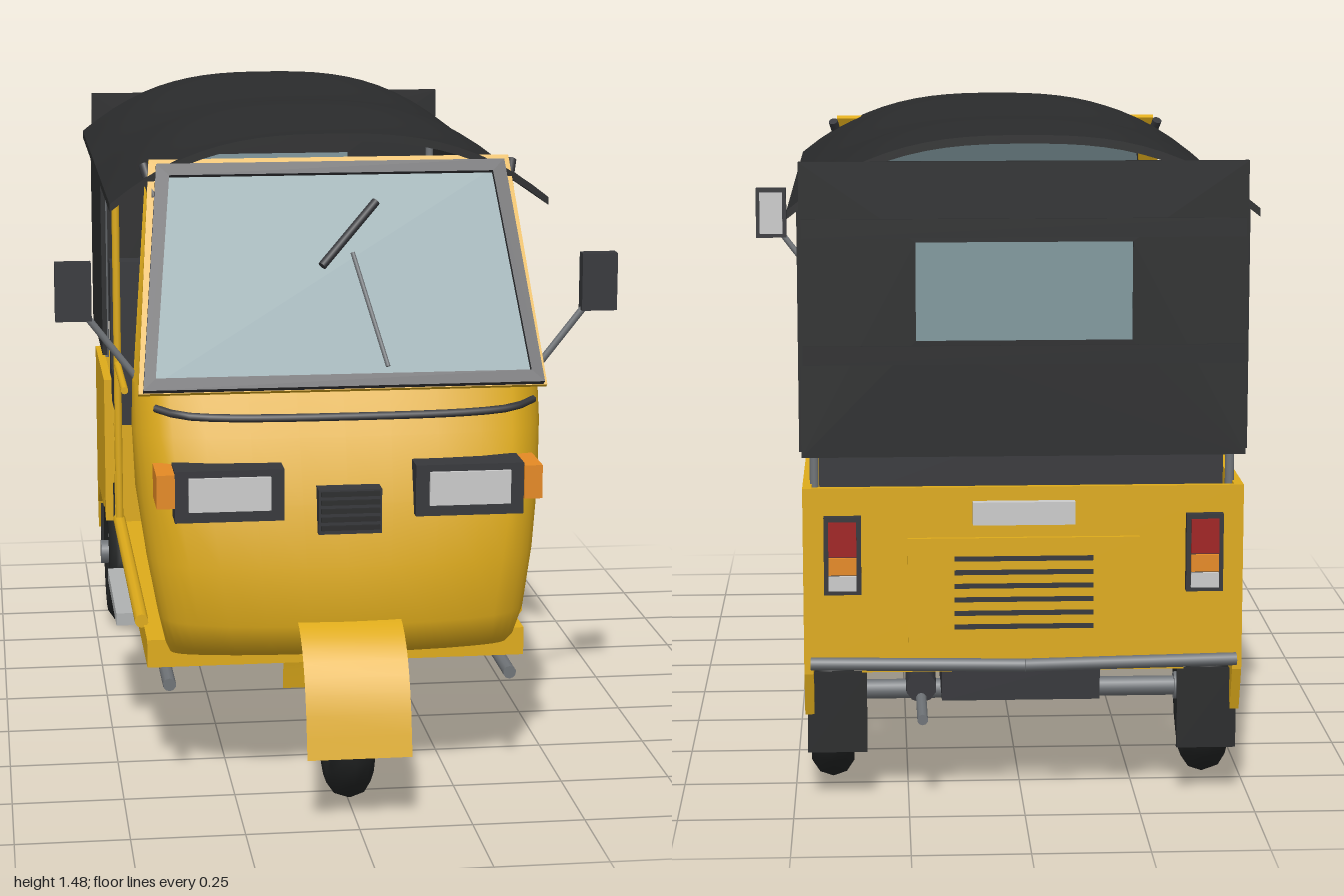
import * as THREE from 'three';
import { mergeVertices } from 'three/addons/utils/BufferGeometryUtils.js';

const mat = (color, side = THREE.FrontSide) => new THREE.MeshStandardMaterial({ color, side });
const M = {
  yellow: mat(0xdeab1b), yellow2: mat(0xdeab1b, THREE.DoubleSide),
  canvas: mat(0x2a2b2c), canvas2: mat(0x2a2b2c, THREE.DoubleSide),
  dark: mat(0x36373b), tyre: mat(0x222424), steel: mat(0x707478), rim: mat(0xb0b2b2),
  mat: mat(0x555753), glass: mat(0x80989d, THREE.DoubleSide), lamp: mat(0xd5d8d4),
  orange: mat(0xe58a24), red: mat(0xa02020),
};
const V = (x, y, z) => new THREE.Vector3(x, y, z);

export function createModel() {
  const root = new THREE.Group();
  const add = (name, geo, m, parent = root) => {
    const mesh = new THREE.Mesh(geo, m);
    mesh.name = name;
    parent.add(mesh);
    return mesh;
  };
  // box from its limits on each axis
  const box = (name, m, x0, x1, y0, y1, z0, z1, parent) => {
    const b = add(name, new THREE.BoxGeometry(Math.abs(x1 - x0), y1 - y0, Math.abs(z1 - z0)), m, parent);
    b.position.set((x0 + x1) / 2, (y0 + y1) / 2, (z0 + z1) / 2);
    return b;
  };
  // straight rod between two points
  const rod = (name, m, a, b, r, parent) => {
    const c = add(name, new THREE.CylinderGeometry(r, r, a.distanceTo(b), 10), m, parent);
    c.position.copy(a).add(b).multiplyScalar(0.5);
    c.quaternion.setFromUnitVectors(V(0, 1, 0), b.clone().sub(a).normalize());
    return c;
  };
  // smooth surface through rows of points
  const loft = (rows) => {
    const n = rows[0].length, idx = [];
    for (let i = 0; i < rows.length - 1; i++) for (let j = 0; j < n - 1; j++) {
      const a = i * n + j, b = a + n;
      idx.push(a, a + 1, b, a + 1, b + 1, b);
    }
    const g = new THREE.BufferGeometry().setFromPoints(rows.flat());
    g.setIndex(idx);
    g.computeVertexNormals();
    return g;
  };
  const poly = (pts) => new THREE.Shape(pts.map(p => new THREE.Vector2(...p)));

  // front cowl: horizontal sections [y, backX, backZ, cornerX, cornerZ, frontX, frontZ, centreZ]
  const sections = [
    [0.32, 0.385, 0.61, 0.38, 0.66, 0.30, 0.69, 0.71],
    [0.35, 0.395, 0.605, 0.39, 0.70, 0.31, 0.755, 0.785],
    [0.42, 0.41, 0.60, 0.405, 0.73, 0.33, 0.79, 0.83],
    [0.55, 0.435, 0.58, 0.428, 0.71, 0.35, 0.785, 0.82],
    [0.69, 0.455, 0.56, 0.445, 0.68, 0.37, 0.77, 0.80],
    [0.83, 0.46, 0.535, 0.455, 0.64, 0.38, 0.72, 0.75],
    [0.94, 0.455, 0.52, 0.455, 0.61, 0.385, 0.68, 0.70],
  ];
  add('frontCowl', loft(sections.map(([y, bx, bz, cx, cz, fx, fz, z]) =>
    new THREE.CatmullRomCurve3([V(-bx, y, bz), V(-cx, y, cz), V(-fx, y, fz), V(0, y, z),
      V(fx, y, fz), V(cx, y, cz), V(bx, y, bz)], false, 'centripetal').getPoints(24))), M.yellow2);
  add('cowlLedge', loft([[V(-0.385, 0.935, 0.68), V(0, 0.935, 0.70), V(0.385, 0.935, 0.68)],
    [V(-0.44, 0.935, 0.56), V(0, 0.935, 0.56), V(0.44, 0.935, 0.56)]]), M.yellow2);
  add('cowlTrim', new THREE.TubeGeometry(new THREE.CatmullRomCurve3(
    [V(-0.42, 0.905, 0.75), V(-0.36, 0.895, 0.79), V(0, 0.89, 0.815), V(0.36, 0.895, 0.79), V(0.42, 0.905, 0.75)]),
    20, 0.009, 6), M.dark);

  // windscreen leaning back, built in its own plane
  const screen = new THREE.Group();
  screen.name = 'windscreen';
  screen.position.set(0, 0.935, 0.735);
  screen.rotation.x = -0.505;
  root.add(screen);
  const ring = (b, t, y0, y1, w) => {
    const s = poly([[-b, y0], [b, y0], [t, y1], [-t, y1]]);
    s.holes.push(poly([[-b + w, y0 + w], [-t + w, y1 - w], [t - w, y1 - w], [b - w, y0 + w]]));
    return s;
  };
  const ext = (s, depth) => new THREE.ExtrudeGeometry(s, { depth, bevelEnabled: false });
  add('screenSurround', ext(ring(0.455, 0.41, 0, 0.55, 0.04), 0.015), M.yellow, screen).position.z = -0.02;
  add('screenFrame', ext(ring(0.445, 0.395, 0, 0.53, 0.028), 0.02), M.dark, screen);
  add('screenGlass', new THREE.ShapeGeometry(poly([[-0.43, 0.01], [0.43, 0.01], [0.38, 0.52], [-0.38, 0.52]])), M.glass, screen)
    .position.z = 0.006;
  rod('wiperArm', M.steel, V(0.095, 0.04, 0.03), V(0.03, 0.30, 0.05), 0.005, screen);
  rod('wiperBlade', M.dark, V(-0.04, 0.27, 0.05), V(0.09, 0.42, 0.05), 0.01, screen);

  // roof canopy: a thin sheet arched across and rippled along its length
  const roof = new THREE.BoxGeometry(1, 0.018, 1.43, 24, 1, 30);
  const rp = roof.attributes.position;
  for (let i = 0; i < rp.count; i++) {
    const x = rp.getX(i), z = rp.getZ(i) - 0.225;
    const arch = 1 - Math.pow(Math.min(1, Math.abs(x) / 0.5), 2.7);
    const wave = 0.162 + 0.012 * Math.cos((z - 0.05) * 8.4);
    rp.setXYZ(i, x, rp.getY(i) + 1.309 + arch * wave, z);
  }
  roof.computeVertexNormals();
  add('roofCanopy', roof, M.canvas);

  // rear curtain with a window
  const back = poly([[-0.475, 0.79], [0.475, 0.79], [0.475, 1.42], [-0.475, 1.42]]);
  back.holes.push(poly([[-0.23, 1.04], [-0.23, 1.25], [0.23, 1.25], [0.23, 1.04]]));
  add('rearCurtain', ext(back, 0.015), M.canvas).position.z = -0.945;
  box('rearWindow', M.glass, -0.23, 0.23, 1.04, 1.25, -0.935, -0.942);
  for (const [y0, y1] of [[1.26, 1.30], [0.99, 1.03]])
    box('curtainBand', M.canvas, -0.47, 0.47, y0, y1, -0.94, -0.952);

  // chassis, floor and engine
  box('floorPan', M.yellow, -0.435, 0.435, 0.27, 0.335, -0.47, 0.61);
  box('floorMat', M.mat, -0.34, 0.34, 0.335, 0.345, -0.44, 0.42);
  box('rearFloor', M.yellow, -0.35, 0.35, 0.31, 0.335, -0.92, -0.47);
  box('engine', M.dark, -0.175, 0.175, 0.215, 0.31, -0.82, -0.5);
  rod('muffler', M.dark, V(0.22, 0.235, -0.55), V(0.22, 0.235, -0.78), 0.035);
  rod('exhaustPipe', M.steel, V(0.22, 0.21, -0.75), V(0.22, 0.21, -0.95), 0.012);
  rod('rearAxle', M.steel, V(-0.43, 0.2, -0.665), V(0.43, 0.2, -0.665), 0.022);

  // wheels
  const tyreGeo = mergeVertices(new THREE.LatheGeometry([[0.1, -0.035], [0.13, -0.047], [0.16, -0.047], [0.185, -0.03],
    [0.195, 0], [0.185, 0.03], [0.16, 0.047], [0.13, 0.047], [0.1, 0.035]].map(p => new THREE.Vector2(...p)), 18));
  for (const [name, x, z] of [['frontWheel', 0, 0.76], ['rearWheelLeft', 0.418, -0.665], ['rearWheelRight', -0.418, -0.665]]) {
    const w = new THREE.Group();
    w.name = name;
    w.position.set(x, 0.2, z);
    w.rotation.z = -Math.PI / 2;
    root.add(w);
    add('tyre', tyreGeo, M.tyre, w);
    add('rim', new THREE.CylinderGeometry(0.108, 0.108, 0.075, 20), M.rim, w);
    add('hub', new THREE.CylinderGeometry(0.032, 0.032, 0.125, 12), M.steel, w);
  }

  // front mudguard and steering
  const guard = new THREE.CatmullRomCurve3([V(0, 0.17, 1), V(0, 0.30, 0.965), V(0, 0.385, 0.91), V(0, 0.43, 0.83),
    V(0, 0.43, 0.70), V(0, 0.38, 0.60), V(0, 0.30, 0.55), V(0, 0.18, 0.52)]).getPoints(20);
  add('frontMudguard', loft([-0.115, 0.115].map(x => guard.map(p => V(x, p.y, p.z)))), M.yellow2);
  rod('steeringColumn', M.dark, V(0, 0.4, 0.69), V(0, 0.86, 0.48), 0.02);
  box('dashboard', M.dark, -0.35, 0.35, 0.85, 0.93, 0.44, 0.60);
  rod('handlebar', M.steel, V(-0.2, 0.85, 0.41), V(0.2, 0.85, 0.41), 0.01);
  rod('gauge', M.lamp, V(0, 0.905, 0.425), V(0, 0.905, 0.44), 0.035);

  // front grille
  box('grille', M.dark, -0.07, 0.07, 0.63, 0.73, 0.76, 0.832);
  for (let i = 0; i < 5; i++) box('grilleSlat', M.canvas, -0.065, 0.065, 0.64 + i * 0.019, 0.65 + i * 0.019, 0.83, 0.84);

  // driver's seat
  box('driverSeatBase', M.yellow, -0.2, 0.2, 0.39, 0.61, 0.09, 0.325);
  box('driverSeatCushion', M.dark, -0.22, 0.22, 0.61, 0.69, 0.065, 0.355);
  box('driverSeatBack', M.dark, -0.2, 0.2, 0.69, 0.96, 0.02, 0.065);

  // passenger bench
  box('benchFront', M.yellow, -0.45, 0.45, 0.33, 0.60, -0.48, -0.465);
  box('benchCushion', M.dark, -0.44, 0.44, 0.60, 0.69, -0.77, -0.45);
  box('benchBack', M.dark, -0.44, 0.44, 0.66, 0.98, -0.84, -0.77);

  // tail panel, hatch with louvres, number plate and bumper
  box('tailPanel', M.yellow, -0.47, 0.47, 0.33, 0.72, -0.93, -0.915);
  box('engineHatch', M.yellow, -0.25, 0.25, 0.38, 0.61, -0.94, -0.93);
  for (let i = 0; i < 6; i++) box('louvre', M.dark, -0.15, 0.15, 0.41 + i * 0.03, 0.42 + i * 0.03, -0.945, -0.935);
  box('numberPlate', M.lamp, -0.11, 0.11, 0.64, 0.69, -0.95, -0.93);
  rod('bumperLeft', M.steel, V(0.46, 0.34, -0.955), V(0, 0.34, -0.985), 0.014);
  rod('bumperRight', M.steel, V(-0.46, 0.34, -0.955), V(0, 0.34, -0.985), 0.014);

  // rear side panel outline (z, y) with wheel arch
  const side = poly([[-0.46, 0.72], [-0.46, 0.34], [-0.52, 0.36], [-0.56, 0.395], [-0.575, 0.35], [-0.82, 0.345],
    [-0.87, 0.29], [-0.895, 0.21], [-0.93, 0.31], [-0.93, 0.72]]);

  // parts found on both sides
  for (const s of [-1, 1]) {
    const p = (x, y, z) => V(s * x, y, z);
    const sb = (name, m, x0, x1, ...r) => box(name, m, s * x0, s * x1, ...r);
    const panel = add('rearSidePanel', ext(side, 0.02).rotateY(-Math.PI / 2), M.yellow);
    panel.position.x = s > 0 ? 0.475 : -0.455;
    sb('sideCurtain', M.canvas, 0.468, 0.48, 0.8, 1.32, -0.93, -0.39);
    rod('rearPost', M.steel, p(0.45, 0.7, -0.875), p(0.45, 1.34, -0.875), 0.01);
    rod('doorPost', M.yellow, p(0.445, 0.38, -0.342), p(0.445, 1.33, -0.342), 0.01);
    rod('grabRail', M.yellow, p(0.445, 0.785, -0.342), p(0.445, 0.785, -0.01), 0.009);
    rod('sillRail', M.yellow, p(0.44, 0.345, 0.49), p(0.44, 0.345, -0.46), 0.016);
    rod('underRail', M.steel, p(0.39, 0.25, 0.68), p(0.39, 0.25, -0.48), 0.015);
    sb('step', M.rim, 0.43, 0.49, 0.285, 0.315, -0.08, 0.32);
    add('screenPillar', loft([[p(0.445, 0.94, 0.72), p(0.395, 1.39, 0.48)], [p(0.46, 0.94, 0.62), p(0.42, 1.36, 0.47)]]), M.yellow2);
    rod('roofPost', M.dark, p(0.4, 1.33, 0.5), p(0.42, 1.40, 0.45), 0.012);

    sb('headlampHousing', M.dark, 0.145, 0.385, 0.665, 0.78, 0.74, 0.832);
    sb('headlampLens', M.lamp, 0.175, 0.355, 0.69, 0.765, 0.80, 0.84);
    sb('frontIndicator', M.orange, 0.385, 0.425, 0.70, 0.775, 0.72, 0.84);

    rod('mirrorArm', M.steel, p(0.44, 0.93, 0.61), p(0.57, 1.1, 0.62), 0.008);
    sb('mirror', M.dark, 0.55, 0.63, 1.08, 1.21, 0.605, 0.64);
    sb('mirrorGlass', M.lamp, 0.56, 0.62, 1.09, 1.2, 0.602, 0.606);

    rod('frontFork', M.steel, p(0.06, 0.2, 0.76), p(0.06, 0.42, 0.68), 0.013);
    rod('handleGrip', M.dark, p(0.16, 0.85, 0.41), p(0.27, 0.845, 0.36), 0.017);

    sb('tailLampHousing', M.dark, 0.35, 0.43, 0.49, 0.66, -0.95, -0.92);
    sb('tailLampRed', M.red, 0.36, 0.42, 0.575, 0.65, -0.957, -0.94);
    sb('tailLampOrange', M.orange, 0.36, 0.42, 0.535, 0.572, -0.957, -0.94);
    sb('tailLampWhite', M.lamp, 0.36, 0.42, 0.50, 0.532, -0.957, -0.94);
    sb('mudFlap', M.canvas, 0.34, 0.47, 0.12, 0.3, -0.885, -0.872);
  }
  return root;
}
